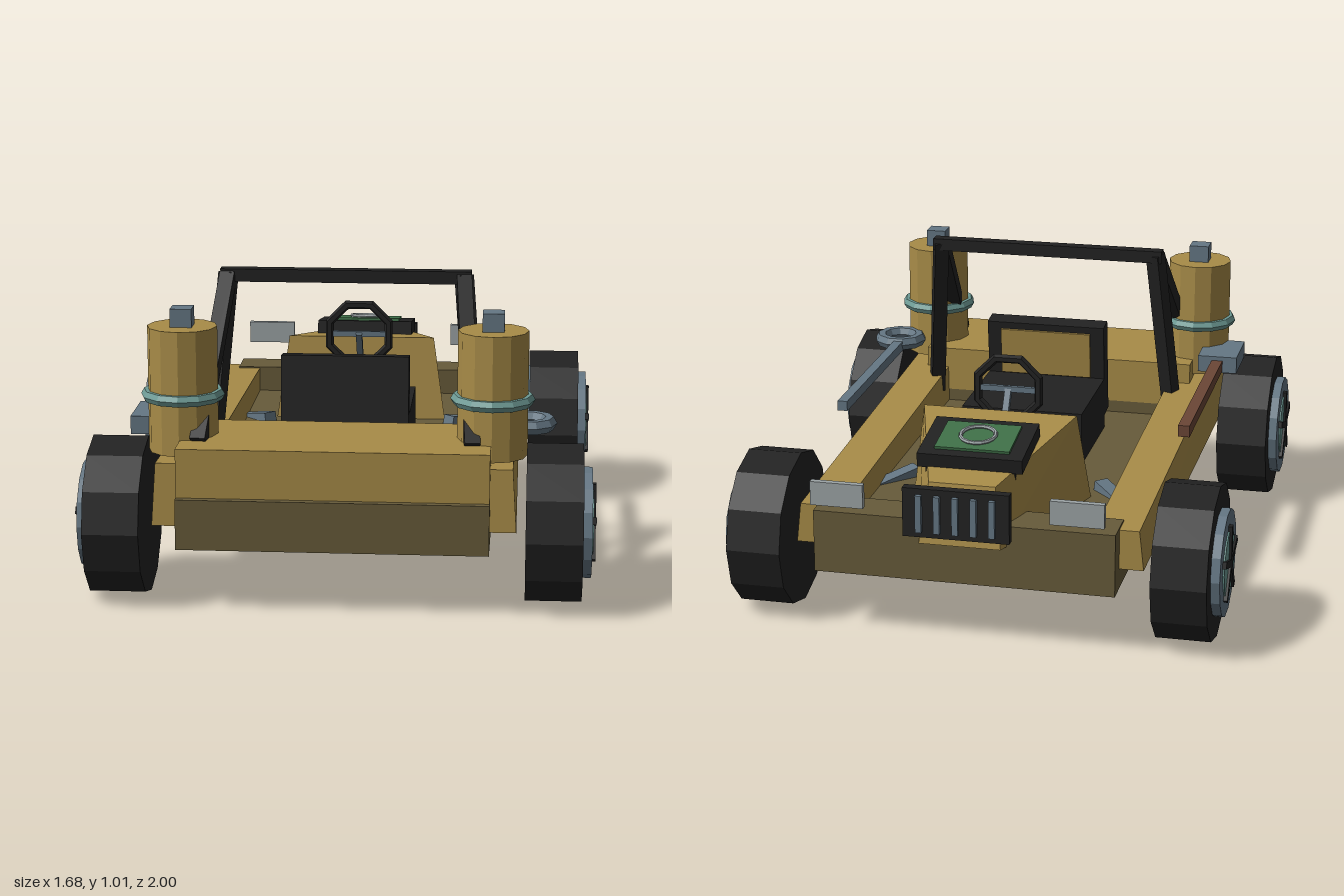
import * as THREE from 'three';
import { ConvexGeometry } from 'three/addons/geometries/ConvexGeometry.js';

const mat = (name, color) => {
  const m = new THREE.MeshStandardMaterial({ color, flatShading: true });
  m.name = name;
  return m;
};
const V = (x, y, z) => new THREE.Vector3(x, y, z);

export function createModel() {
  const tan = mat('tan', 0xa88c48), olive = mat('dark olive', 0x675b3a), black = mat('black', 0x222222);
  const steel = mat('blue grey', 0x657784), teal = mat('teal', 0x6d9a94), green = mat('green', 0x3f7048);
  const silver = mat('light grey', 0x9ca4a6), brown = mat('brown', 0x6b4636);

  const root = new THREE.Group();
  root.name = 'buggy';
  const add = (name, geo, material, pos = [0, 0, 0], parent = root) => {
    const m = new THREE.Mesh(geo, material);
    m.name = name;
    m.position.set(...pos);
    parent.add(m);
    return m;
  };
  // Box given by its minimum and maximum corners
  const box = (name, material, a, b, parent = root) =>
    add(name, new THREE.BoxGeometry(b[0] - a[0], b[1] - a[1], b[2] - a[2]), material,
      [(a[0] + b[0]) / 2, (a[1] + b[1]) / 2, (a[2] + b[2]) / 2], parent);
  // Square bar between two points
  const bar = (name, material, a, b, w, h = w) => {
    const m = add(name, new THREE.BoxGeometry(w, h, a.distanceTo(b)), material);
    m.position.copy(a).add(b).multiplyScalar(0.5);
    m.lookAt(b);
    return m;
  };
  const hull = (name, material, pts) => add(name, new ConvexGeometry(pts.map(p => V(...p))), material);

  // Floor tub: side profile (z, y) with raised ends
  const profile = [[-0.9, 0.21], [0.97, 0.21], [0.97, 0.375], [0.55, 0.375], [0.55, 0.33],
    [-0.755, 0.33], [-0.755, 0.422], [-0.9, 0.422]];
  const tub = new THREE.ExtrudeGeometry(new THREE.Shape(profile.map(p => new THREE.Vector2(...p))),
    { depth: 1, bevelEnabled: false });
  tub.rotateY(-Math.PI / 2);
  tub.translate(0.5, 0, 0);
  add('floorTub', tub, olive);

  // Rear deck and engine cowl
  box('rearDeck', tan, [-0.5, 0.375, 0.545], [0.5, 0.535, 0.945]);
  const cowl = [];
  for (const s of [-1, 1]) {
    cowl.push([s * 0.31, 0.32, -0.34], [s * 0.265, 0.628, -0.375],
      [s * 0.11, 0.553, -0.9], [s * 0.135, 0.355, -0.94]);
  }
  hull('cowl', tan, cowl);

  // Side walls
  for (const s of [-1, 1]) {
    hull('sideWall', tan, [
      [s * 0.42, 0.28, -0.83], [s * 0.58, 0.28, -0.83], [s * 0.565, 0.414, -0.83], [s * 0.42, 0.414, -0.83],
      [s * 0.42, 0.27, 0.905], [s * 0.585, 0.27, 0.905], [s * 0.572, 0.475, 0.895], [s * 0.42, 0.475, 0.895]]);
  }

  // Wheels
  const wheel = (x, z) => {
    const g = new THREE.Group();
    g.name = 'wheel';
    g.position.set(0, 0.2625, z);
    if (x < 0) g.rotation.y = Math.PI;
    const disc = (name, r, x0, x1, material, n) => {
      const geo = new THREE.CylinderGeometry(r, r, x1 - x0, n);
      geo.rotateZ(-Math.PI / 2);
      add(name, geo, material, [(x0 + x1) / 2, 0, 0], g);
    };
    disc('tyre', 0.2625, 0.615, 0.797, black, 12);
    disc('rim', 0.18, 0.7, 0.827, steel, 14);
    disc('hubPlate', 0.115, 0.8, 0.832, teal, 14);
    for (let i = 0; i < 5; i++) {
      const a = i * Math.PI * 2 / 5;
      const geo = new THREE.BoxGeometry(0.02, 0.13, 0.024);
      geo.translate(0.83, 0.065, 0);
      geo.rotateX(a);
      add('spoke', geo, black, [0, 0, 0], g);
    }
    root.add(g);
  };
  for (const s of [-1, 1]) {
    wheel(s, 0.738);
    wheel(s, -0.658);
    bar('suspensionArm', steel, V(s * 0.325, 0.345, -0.26), V(s * 0.66, 0.25, -0.61), 0.05, 0.04);
  }

  // Seat
  box('seatBase', black, [-0.215, 0.33, -0.05], [0.215, 0.52, 0.37]);
  const back = new THREE.Group();
  back.name = 'seatBack';
  back.position.set(0, 0.5, 0.4);
  back.rotation.x = -0.17;
  box('backrest', black, [-0.215, -0.12, -0.04], [0.215, 0.225, 0.03], back);
  box('backCushion', tan, [-0.165, 0.03, -0.049], [0.165, 0.2, -0.04], back);
  back.rotation.x = -0.12;
  root.add(back);

  // Roll cage
  box('rollBarTop', black, [-0.42, 0.972, 0.34], [0.42, 1.015, 0.385]);
  for (const s of [-1, 1]) {
    bar('rollBarLeg', black, V(s * 0.395, 1.0, 0.362), V(s * 0.445, 0.4, 0.475), 0.05);
    bar('rollBarBrace', black, V(s * 0.395, 0.99, 0.37), V(s * 0.44, 0.53, 0.83), 0.05);
  }

  // Rear canisters
  for (const s of [-1, 1]) {
    const x = s * 0.502, z = 0.723;
    add('canister', new THREE.CylinderGeometry(0.114, 0.114, 0.41, 12), tan, [x, 0.685, z]);
    box('canisterCap', steel, [x - 0.035, 0.88, z - 0.035], [x + 0.035, 0.95, z + 0.035]);
    const ring = new THREE.TorusGeometry(0.117, 0.02, 6, 12);
    ring.rotateX(Math.PI / 2);
    add('canisterBand', ring, teal, [x, 0.665, z]);
  }

  // Steering wheel and column
  const rim = new THREE.TorusGeometry(0.115, 0.016, 6, 8);
  rim.rotateZ(Math.PI / 8);
  add('steeringWheel', rim, black, [0, 0.665, -0.252]);
  box('steeringSpoke', steel, [-0.11, 0.655, -0.26], [0.11, 0.675, -0.245]);
  bar('steeringColumn', steel, V(0, 0.67, -0.245), V(0, 0.47, -0.37), 0.022);

  // Instrument box, tilted with the cowl
  const panel = new THREE.Group();
  panel.name = 'instrumentBox';
  panel.position.set(0, 0.628, -0.677);
  panel.rotation.x = -0.15;
  box('instrumentCase', black, [-0.175, -0.045, -0.13], [0.175, 0.004, 0.132], panel);
  box('instrumentLip', black, [-0.15, -0.1, -0.12], [0.15, -0.04, -0.04], panel);
  box('instrumentPlate', green, [-0.125, 0.004, -0.092], [0.125, 0.013, 0.092], panel);
  const dial = new THREE.TorusGeometry(0.058, 0.007, 6, 16);
  dial.rotateX(Math.PI / 2);
  add('dialRing', dial, silver, [0, 0.018, 0], panel);
  root.add(panel);

  // Grille and headlights
  box('grille', black, [-0.175, 0.395, -0.985], [0.175, 0.56, -0.953]);
  for (let i = -2; i <= 2; i++) {
    box('grilleBar', steel, [i * 0.06 - 0.01, 0.415, -1], [i * 0.06 + 0.01, 0.54, -0.98]);
  }
  for (const s of [-1, 1]) {
    add('headlight', new THREE.BoxGeometry(0.175, 0.08, 0.022), silver, [s * 0.393, 0.515, -0.975]);
  }

  // Tools along the sides
  box('toolRod', steel, [0.585, 0.53, -0.225], [0.62, 0.565, 0.52]);
  const loop = new THREE.TorusGeometry(0.072, 0.025, 6, 10);
  loop.rotateX(Math.PI / 2);
  add('toolLoop', loop, steel, [0.615, 0.552, 0.578]);
  box('hammerHandle', brown, [-0.625, 0.53, -0.23], [-0.585, 0.57, 0.53]);
  box('hammerHead', steel, [-0.677, 0.525, 0.51], [-0.535, 0.585, 0.72]);

  return root;
}
